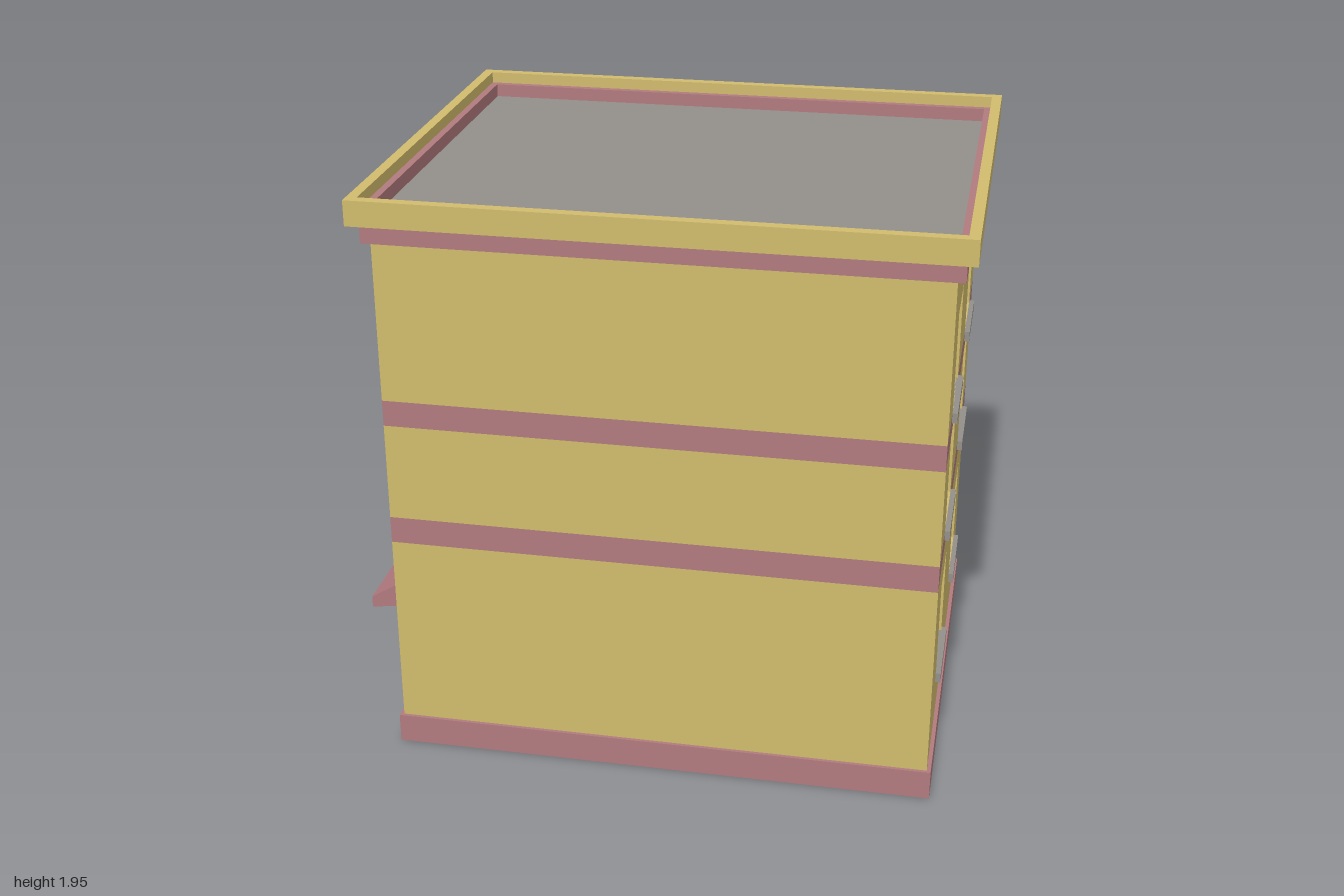
import * as THREE from 'three';

const mat = (name, color) => new THREE.MeshStandardMaterial({ name, color, side: THREE.DoubleSide });

export function createModel() {
  const yellow = mat('ochre wall', 0xd1bb6d);
  const pink = mat('dusty red trim', 0xb17a7e);
  const grey = mat('grey', 0x93908b);
  const model = new THREE.Group();
  const CX = 0.056, HX = 0.886, HZ = 0.7145; // body centre and half sizes

  const add = (name, geometry, material) => {
    const mesh = new THREE.Mesh(geometry, material);
    mesh.name = name;
    model.add(mesh);
    return mesh;
  };
  const box = (name, m, x0, x1, y0, y1, z0, z1) =>
    add(name, new THREE.BoxGeometry(x1 - x0, y1 - y0, z1 - z0), m)
      .position.set((x0 + x1) / 2, (y0 + y1) / 2, (z0 + z1) / 2);
  const trace = (path, points) => path.setFromPoints(points.map(([a, b]) => new THREE.Vector2(a, b)));
  const rect = (path, a0, a1, b0, b1) => trace(path, [[a0, b0], [a1, b0], [a1, b1], [a0, b1], [a0, b0]]);

  // Rectangular ring around the building
  const ring = (name, m, hx, hz, ix, iz, y0, y1) => {
    const s = rect(new THREE.Shape(), CX - hx, CX + hx, -hz, hz);
    s.holes.push(rect(new THREE.Path(), CX - ix, CX + ix, -iz, iz));
    const g = new THREE.ExtrudeGeometry(s, { depth: y1 - y0, bevelEnabled: false });
    add(name, g.rotateX(-Math.PI / 2).translate(0, y0, 0), m);
  };

  // Profile in x and y, swept along z
  const sweep = (name, m, points, z0, z1) => {
    const g = new THREE.ExtrudeGeometry(trace(new THREE.Shape(), points), { depth: z1 - z0, bevelEnabled: false });
    add(name, g.translate(0, 0, z0), m);
  };

  // Recessed opening: reveals in wall colour, glass or door at the back
  const recess = (name, side, [z0, z1, y0, y1]) => {
    const depth = 0.04;
    const g = new THREE.BoxGeometry(depth, y1 - y0, z1 - z0);
    const outer = side > 0 ? 0 : 1;
    g.groups = g.groups.filter((p) => p.materialIndex !== outer);
    const mats = Array(6).fill(yellow);
    mats[1 - outer] = grey;
    add(name, g, mats).position.set(CX + side * (HX - depth / 2), (y0 + y1) / 2, (z0 + z1) / 2);
  };

  const columns = [[0.2, 0.458], [-0.476, -0.218]];
  const row = (y0, y1) => columns.map(([z0, z1]) => [z0, z1, y0, y1]);
  const door = [-0.475, -0.235, 0.102, 0.505];
  const shopWindow = [0.013, 0.617, 0.22, 0.48];

  // Storeys and flush bands, with openings for the left and right sides
  const storeys = [
    { name: 'groundFloor', m: yellow, y: [0.1, 0.765], left: row(0.325, 0.64), right: [door, shopWindow] },
    { name: 'lowerBand', m: pink, y: [0.765, 0.856], left: [], right: [] },
    { name: 'middleFloor', m: yellow, y: [0.856, 1.183], left: row(0.858, 1.181), right: row(0.858, 1.181) },
    { name: 'upperBand', m: pink, y: [1.183, 1.27], left: [], right: [] },
    { name: 'topFloor', m: yellow, y: [1.27, 1.8], left: row(1.272, 1.597), right: row(1.272, 1.597) },
  ];
  for (const { name, m, y: [y0, y1], left, right } of storeys) {
    for (const s of [1, -1]) {
      const end = new THREE.PlaneGeometry(2 * HX, y1 - y0);
      if (s < 0) end.rotateY(Math.PI);
      add(name + (s > 0 ? 'FrontWall' : 'BackWall'), end.translate(CX, (y0 + y1) / 2, s * HZ), m);

      const openings = s > 0 ? left : right;
      const wall = rect(new THREE.Shape(), -HZ, HZ, y0, y1);
      for (const o of openings) wall.holes.push(rect(new THREE.Path(), ...o));
      const g = new THREE.ShapeGeometry(wall).rotateY(-Math.PI / 2).translate(CX + s * HX, 0, 0);
      add(name + (s > 0 ? 'LeftWall' : 'RightWall'), g, m);

      for (const o of openings) {
        recess(o === door ? 'door' : o === shopWindow ? 'shopWindow' : 'window', s, o);
        if (o === door || o === shopWindow) continue;
        // Sill through the wall below each window
        const xs = [CX + s * (HX - 0.04), CX + s * (HX + 0.017)].sort((a, b) => a - b);
        box('windowSill', grey, ...xs, o[2] - 0.034, o[2], o[0] - 0.022, o[1] + 0.022);
      }
    }
  }

  // Plinth, cornice, parapet and roof
  ring('plinth', pink, HX + 0.013, 0.726, HX - 0.004, HZ - 0.004, 0, 0.1);
  ring('cornice', pink, HX + 0.025, 0.736, HX, 0.711, 1.8, 1.91);
  ring('parapet', yellow, HX + 0.058, 0.773, HX + 0.024, 0.738, 1.865, 1.947);
  const roof = new THREE.PlaneGeometry(2 * HX + 0.002, 1.424).rotateX(-Math.PI / 2);
  add('roof', roof.translate(CX, 1.866, 0), grey);

  // Awning over the shop window and hood over the door
  sweep('awning', pink, [[-0.83, 0.58], [-0.935, 0.515], [-0.935, 0.477], [-0.83, 0.49]], -0.022, 0.658);
  box('doorHood', grey, -0.9, -0.81, 0.51, 0.532, -0.488, -0.213);

  // Entrance steps: a thin folded sheet, open below, with a back plate
  const fold = [];
  for (let i = 0; i < 4; i++) {
    const x = -0.998 + i * 0.037, y = 0.03 * i;
    fold.push([x, y], [x, y + 0.03]);
  }
  fold.push([-0.815, 0.12]);
  const underside = fold.map(([x, y]) => [x + 0.006, Math.max(0, y - 0.006)]).reverse();
  sweep('steps', grey, [...fold, ...underside], -0.473, -0.233);
  box('stepsBack', grey, -0.815, -0.809, 0, 0.12, -0.473, -0.233);

  // Sloping cheeks beside the steps
  for (const [z0, z1] of [[-0.487, -0.473], [-0.233, -0.214]])
    sweep('stepCheek', pink, [[-1, 0], [-1, 0.065], [-0.83, 0.142], [-0.809, 0.142], [-0.809, 0]], z0, z1);

  return model;
}
